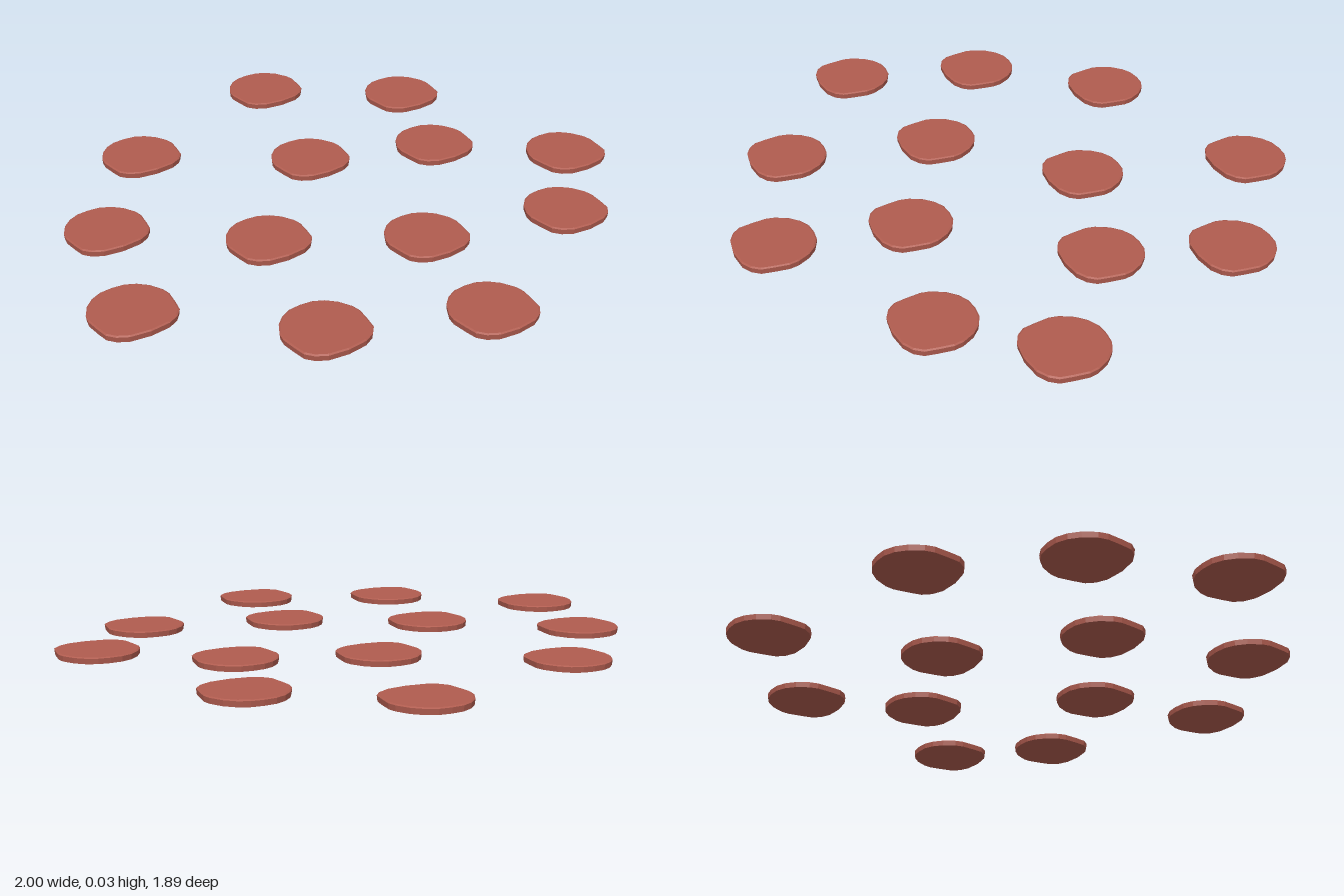
import * as THREE from 'three';

// Half of the stone outline as [x, z], from back to front; mirrored for the other half.
const HALF = [[0, -0.132], [0.04, -0.128], [0.075, -0.111], [0.105, -0.082], [0.128, -0.04], [0.134, -0.01],
  [0.128, 0.04], [0.121, 0.08], [0.1, 0.106], [0.065, 0.125], [0, 0.133]];

// Stone centres as [x, z]
const CENTRES = [[0.23, -0.82], [-0.41, -0.61], [0.65, -0.505], [-0.73, -0.225], [0.08, -0.265],
  [0.51, -0.11], [-0.32, 0.11], [-0.865, 0.23], [0.115, 0.375], [0.865, 0.195],
  [0.6, 0.495], [-0.435, 0.62], [0.035, 0.81]];

// Thin slab with a flat top, upright rim and slightly bulging underside
function stoneGeometry() {
  const outline = [...HALF, ...HALF.slice(1, -1).reverse().map(([x, z]) => [-x, z])];
  const n = outline.length;
  // Rings from the top centre down to the bottom centre: [scale, height]
  const rings = [[0, 0.028], [0.96, 0.028], [1, 0.025], [0.985, 0.007], [0.7, 0.002], [0, 0]];
  const point = (r, i) => {
    const [x, z] = outline[i % n];
    return [x * rings[r][0], rings[r][1], z * rings[r][0]];
  };
  const positions = [];
  for (let r = 0; r < rings.length - 1; r++) {
    for (let i = 0; i < n; i++) {
      const a = point(r, i), b = point(r, i + 1), c = point(r + 1, i + 1), d = point(r + 1, i);
      if (rings[r][0] > 0) positions.push(...a, ...b, ...c);
      if (rings[r + 1][0] > 0) positions.push(...a, ...c, ...d);
    }
  }
  const geometry = new THREE.BufferGeometry();
  geometry.setAttribute('position', new THREE.Float32BufferAttribute(positions, 3));
  geometry.computeVertexNormals();
  return geometry;
}

export function createModel() {
  const group = new THREE.Group();
  group.name = 'steppingStones';
  const terracotta = new THREE.MeshStandardMaterial({ color: 0xb05c4f });
  terracotta.name = 'terracotta';
  const geometry = stoneGeometry();
  CENTRES.forEach(([x, z], i) => {
    const stone = new THREE.Mesh(geometry, terracotta);
    stone.name = `steppingStone${i + 1}`;
    stone.position.set(x, 0, z);
    group.add(stone);
  });
  return group;
}
